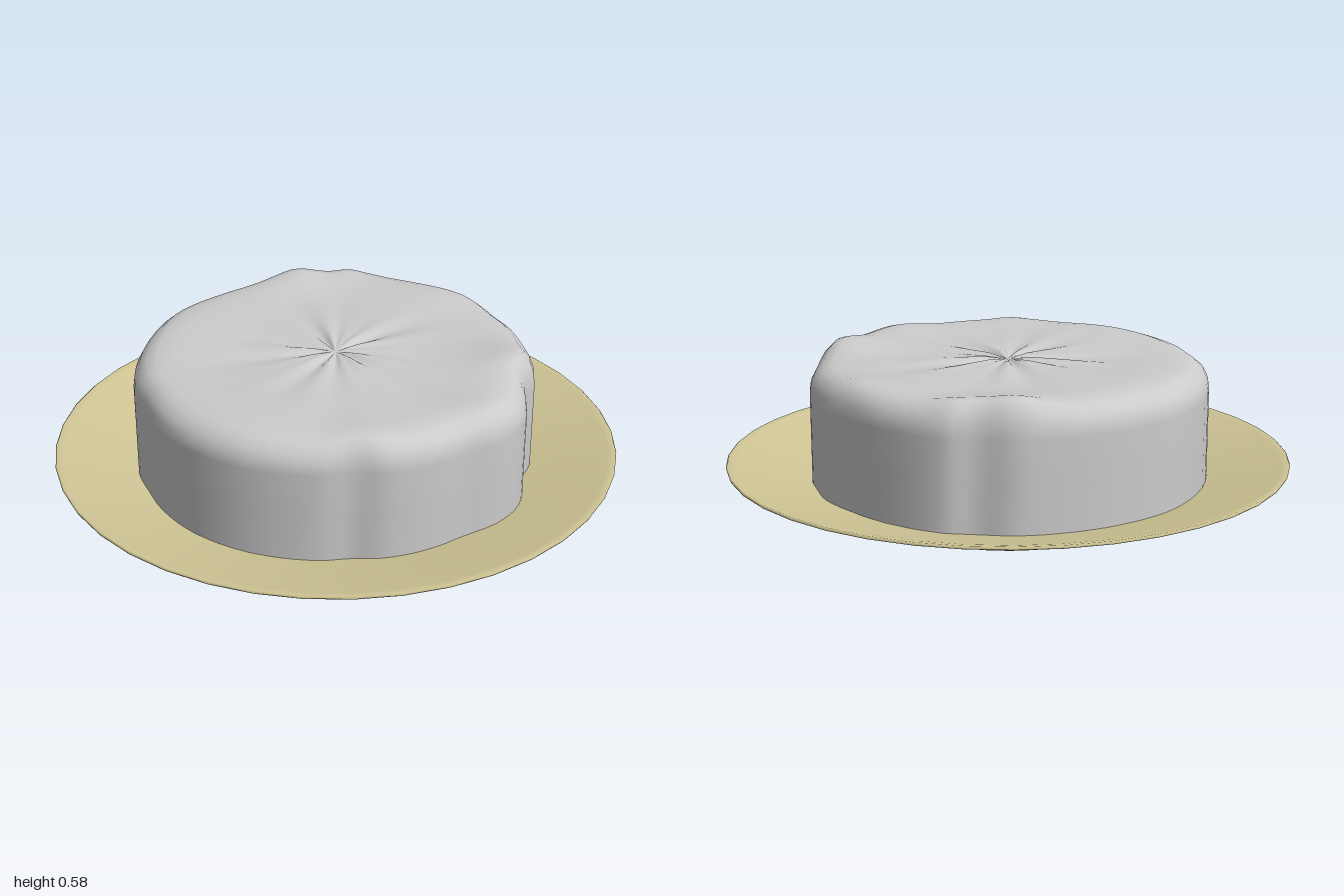
import * as THREE from 'three';

const v2 = (p) => new THREE.Vector2(p[0], p[1]);

// Shallow dish turned on a lathe: foot ring, flared underside, thin rim, sloping top
function makePlate() {
  const profile = [
    [0, 0.012], [0.44, 0.012], [0.465, 0.003], [0.48, 0], [0.492, 0.008], [0.502, 0.035],
    [0.518, 0.056], [0.56, 0.076], [0.62, 0.092], [0.8, 0.138], [0.985, 0.185], [0.998, 0.19],
    [1, 0.195], [0.995, 0.2], [0.97, 0.196], [0.8, 0.155], [0.62, 0.112], [0.5, 0.088], [0, 0.085],
  ].map(v2);
  const plate = new THREE.Mesh(
    new THREE.LatheGeometry(profile, 40),
    new THREE.MeshStandardMaterial({ color: 0xcfc595 }));
  plate.name = 'plate';
  return plate;
}

// Uneven outline of the cake as seen from above (x, z)
const OUTLINE = [
  [0.7, 0], [0.68, 0.14], [0.62, 0.32], [0.55, 0.39], [0.5, 0.5], [0.43, 0.585], [0.33, 0.64],
  [0.2, 0.66], [0.1, 0.685], [0, 0.695], [-0.1, 0.685], [-0.19, 0.645], [-0.31, 0.62],
  [-0.5, 0.5], [-0.63, 0.33], [-0.69, 0.15], [-0.7, 0], [-0.7, -0.12], [-0.63, -0.32],
  [-0.5, -0.5], [-0.4, -0.58], [-0.2, -0.665], [0, -0.7], [0.11, -0.7], [0.22, -0.655],
  [0.33, -0.64], [0.5, -0.49], [0.6, -0.35], [0.67, -0.23], [0.69, -0.1],
];

// Rings from the foot of the wall to near the centre: [outline scale, height]
const RINGS = [
  [1, 0.115], [1, 0.3], [1, 0.45], [0.993, 0.485], [0.97, 0.515], [0.93, 0.538], [0.88, 0.549],
  [0.8, 0.553], [0.7, 0.553], [0.6, 0.552], [0.5, 0.551], [0.4, 0.55], [0.3, 0.55],
  [0.2, 0.55], [0.12, 0.55], [0.05, 0.547],
];

// Raised spots on the top edge: [x, z, height, radius]
const BUMPS = [
  [0.57, 0.32, 0.03, 0.13], [0.1, -0.67, 0.035, 0.13], [0.28, -0.62, 0.02, 0.1],
  [-0.16, 0.63, 0.02, 0.1], [0.34, 0.6, 0.015, 0.12], [0.6, -0.3, 0.015, 0.12],
];

// Radial folds and soft swells of the top
function topRelief(x, z, s) {
  const a = Math.atan2(z, x);
  const folds = (Math.sin(9 * a + 1) + 0.8 * Math.sin(14 * a + 2.3) + 0.6 * Math.sin(5 * a))
    * 0.0055 * Math.min(1, s / 0.12) * Math.max(0, 1 - s / 0.75);
  const swells = 0.006 * Math.sin(7 * x + 1) * Math.sin(8 * z + 2) * Math.min(1, s * 2);
  let y = folds + swells;
  for (const [bx, bz, h, r] of BUMPS) {
    y += h * Math.exp(-((x - bx) ** 2 + (z - bz) ** 2) / (r * r));
  }
  return y;
}

// Round cake: upright wall, softened shoulder and wrinkled top
function makeCake() {
  const n = 90;
  const curve = new THREE.CatmullRomCurve3(
    OUTLINE.map(([x, z]) => new THREE.Vector3(x, 0, z)), true, 'centripetal');
  const outline = curve.getPoints(n).slice(0, n);
  const positions = [], index = [];
  for (const [s, y] of RINGS) {
    const lift = THREE.MathUtils.smoothstep(y, 0.45, 0.53);
    for (const p of outline) {
      const x = p.x * s, z = p.z * s;
      positions.push(x, y + lift * topRelief(x, z, s), z);
    }
  }
  for (let r = 0; r < RINGS.length - 1; r++) {
    for (let i = 0; i < n; i++) {
      const a = r * n + i, b = r * n + (i + 1) % n;
      index.push(a, a + n, b, b, a + n, b + n);
    }
  }
  // Centre of the top
  const centre = positions.length / 3, last = (RINGS.length - 1) * n;
  positions.push(0, 0.545, 0);
  for (let i = 0; i < n; i++) index.push(last + i, centre, last + (i + 1) % n);

  const geo = new THREE.BufferGeometry();
  geo.setAttribute('position', new THREE.Float32BufferAttribute(positions, 3));
  geo.setIndex(index);
  geo.computeVertexNormals();
  const cake = new THREE.Mesh(geo, new THREE.MeshStandardMaterial({ color: 0xcccccc }));
  cake.name = 'cake';
  return cake;
}

export function createModel() {
  const model = new THREE.Group();
  model.name = 'cakeOnPlate';
  model.add(makePlate(), makeCake());
  return model;
}
